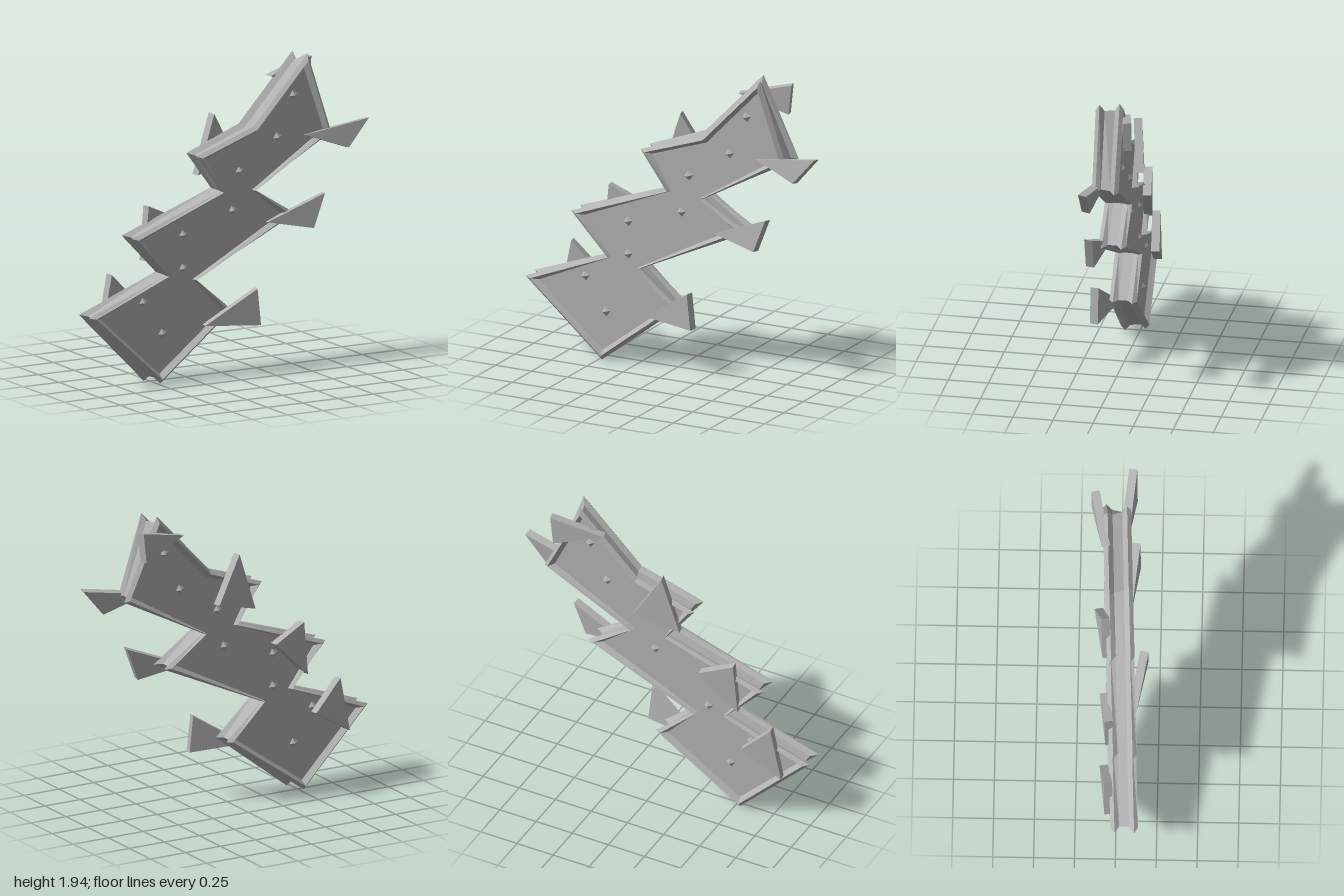
import * as THREE from 'three';

const steel = new THREE.MeshStandardMaterial({ color: 0xb2b2b2, flatShading: true });
steel.name = 'grey steel';

// jagged outline, counter-clockwise: x, y, sideways shift of the back edge
const OUTLINE = [
  [-0.48, 0.0, -0.05], [0.04, 0.4, 0], [-0.22, 0.62, 0], [0.5, 0.95, 0], [0.21, 1.13, 0],
  [0.76, 1.43, 0.03], [0.59, 1.94, -0.04], [0.2, 1.53, -0.04], [-0.22, 1.39, 0], [-0.04, 1.15, 0],
  [-0.69, 0.93, 0], [-0.44, 0.67, 0], [-1.0, 0.47, 0],
];
// rim section from front panel to back panel: depth, inset
const RIM = [
  [0.05, 0.046], [0.085, 0.022], [0.06, 0], [0.03, 0.025],
  [-0.03, 0.025], [-0.06, 0], [-0.085, 0.022], [-0.05, 0.046],
];
// the blade leans slightly backwards towards its left
const midZ = (x) => 0.008 - 0.047 * x;

// move every corner of a polygon inwards by d, much less at the notches
function inset(points, d) {
  const n = points.length;
  return points.map((p, i) => {
    const a = p.clone().sub(points[(i + n - 1) % n]).normalize();
    const b = points[(i + 1) % n].clone().sub(p).normalize();
    const na = new THREE.Vector2(-a.y, a.x), nb = new THREE.Vector2(-b.y, b.x);
    const notch = a.cross(b) < -0.5;
    const dir = na.clone().add(nb);
    return notch
      ? p.clone().addScaledVector(dir.normalize(), 0.45 * d)
      : p.clone().addScaledVector(dir, d / (1 + na.dot(nb)));
  });
}

function mesh(name, geometry) {
  const m = new THREE.Mesh(geometry, steel);
  m.name = name;
  return m;
}

function build(positions, index) {
  let g = new THREE.BufferGeometry();
  g.setAttribute('position', new THREE.Float32BufferAttribute(positions, 3));
  g.setIndex(index);
  g = g.toNonIndexed();
  g.computeVertexNormals();
  return g;
}

function bladeBody() {
  const group = new THREE.Group();
  group.name = 'blade';
  const n = OUTLINE.length;
  const rings = RIM.map(([w, d]) => {
    const t = THREE.MathUtils.clamp(0.5 - w / 0.12, 0, 1);
    return inset(OUTLINE.map(([x, y, s]) => new THREE.Vector2(x + s * t, y)), d);
  });
  const pos = [], idx = [];
  rings.forEach((ring, r) => ring.forEach((p) => pos.push(p.x, p.y, midZ(p.x) + RIM[r][0])));
  for (let r = 0; r < RIM.length - 1; r++) {
    for (let i = 0; i < n; i++) {
      const a = r * n + i, b = r * n + (i + 1) % n;
      idx.push(a, a + n, b, b, a + n, b + n);
    }
  }
  group.add(mesh('groovedRim', build(pos, idx)));

  // recessed panels
  [[0, 'frontPanel'], [RIM.length - 1, 'backPanel']].forEach(([r, name]) => {
    const flat = [], faces = [];
    rings[r].forEach((p) => flat.push(p.x, p.y, midZ(p.x) + RIM[r][0]));
    THREE.ShapeUtils.triangulateShape(rings[r], []).forEach(([a, b, c]) => {
      const [A, B, C] = [a, b, c].map((i) => rings[r][i]);
      const ccw = (B.x - A.x) * (C.y - A.y) - (B.y - A.y) * (C.x - A.x) > 0;
      if (ccw === (r === 0)) faces.push(a, b, c);
      else faces.push(a, c, b);
    });
    group.add(mesh(name, build(flat, faces)));
  });
  return group;
}

// triangular slab, thickened along its normal, from counter-clockwise corners
function spike(name, corners, thickness = 0.052) {
  const points = corners.map((c) => new THREE.Vector3(...c));
  const normal = new THREE.Triangle(...points).getNormal(new THREE.Vector3());
  const pos = [];
  [0.5, -0.5].forEach((s) => points.forEach((p) => {
    pos.push(...p.clone().addScaledVector(normal, s * thickness).toArray());
  }));
  const idx = [0, 1, 2, 3, 5, 4];
  for (let i = 0; i < 3; i++) {
    const j = (i + 1) % 3;
    idx.push(i, i + 3, j, j, i + 3, j + 3);
  }
  return mesh(name, build(pos, idx));
}

const FRONT_SPIKES = [
  [[-0.17, 0.33, 0.085], [0.185, 0.31, 0.155], [0.16, 0.54, 0.155]],
  [[0.29, 0.92, 0.05], [0.59, 0.86, 0.1], [0.67, 1.07, 0.095]],
  [[0.57, 1.43, 0.025], [0.85, 1.33, 0.075], [0.995, 1.5, 0.07]],
];
const BACK_SPIKES = [
  [[-0.76, 0.69, -0.05], [-0.83, 0.34, -0.045], [-0.57, 0.5, -0.08]],
  [[-0.5, 1.09, -0.05], [-0.53, 0.75, -0.045], [-0.28, 0.99, -0.085]],
  [[-0.02, 1.61, -0.08], [-0.14, 1.24, -0.07], [0.15, 1.32, -0.125]],
  [[0.38, 1.8, -0.085], [0.69, 1.69, -0.155], [0.71, 1.88, -0.155]],
];
const STUDS = [
  [0.49, 1.69], [0.375, 1.44], [0.1, 1.26], [0.05, 1.02],
  [-0.31, 0.91], [-0.31, 0.7], [-0.6, 0.52], [-0.46, 0.31],
];

export function createModel() {
  const model = new THREE.Group();
  model.name = 'jaggedBlade';
  model.add(bladeBody());
  FRONT_SPIKES.forEach((c) => model.add(spike('frontSpike', c)));
  BACK_SPIKES.forEach((c) => model.add(spike('backSpike', c)));

  // small pyramid studs on both panels
  const cone = new THREE.ConeGeometry(0.034, 0.025, 4).rotateY(0.2).rotateX(Math.PI / 2);
  STUDS.forEach(([x, y]) => [1, -1].forEach((side) => {
    const stud = mesh(side > 0 ? 'frontStud' : 'backStud', cone);
    stud.position.set(x, y, midZ(x) + side * 0.06);
    if (side < 0) stud.rotation.y = Math.PI;
    model.add(stud);
  }));
  return model;
}
